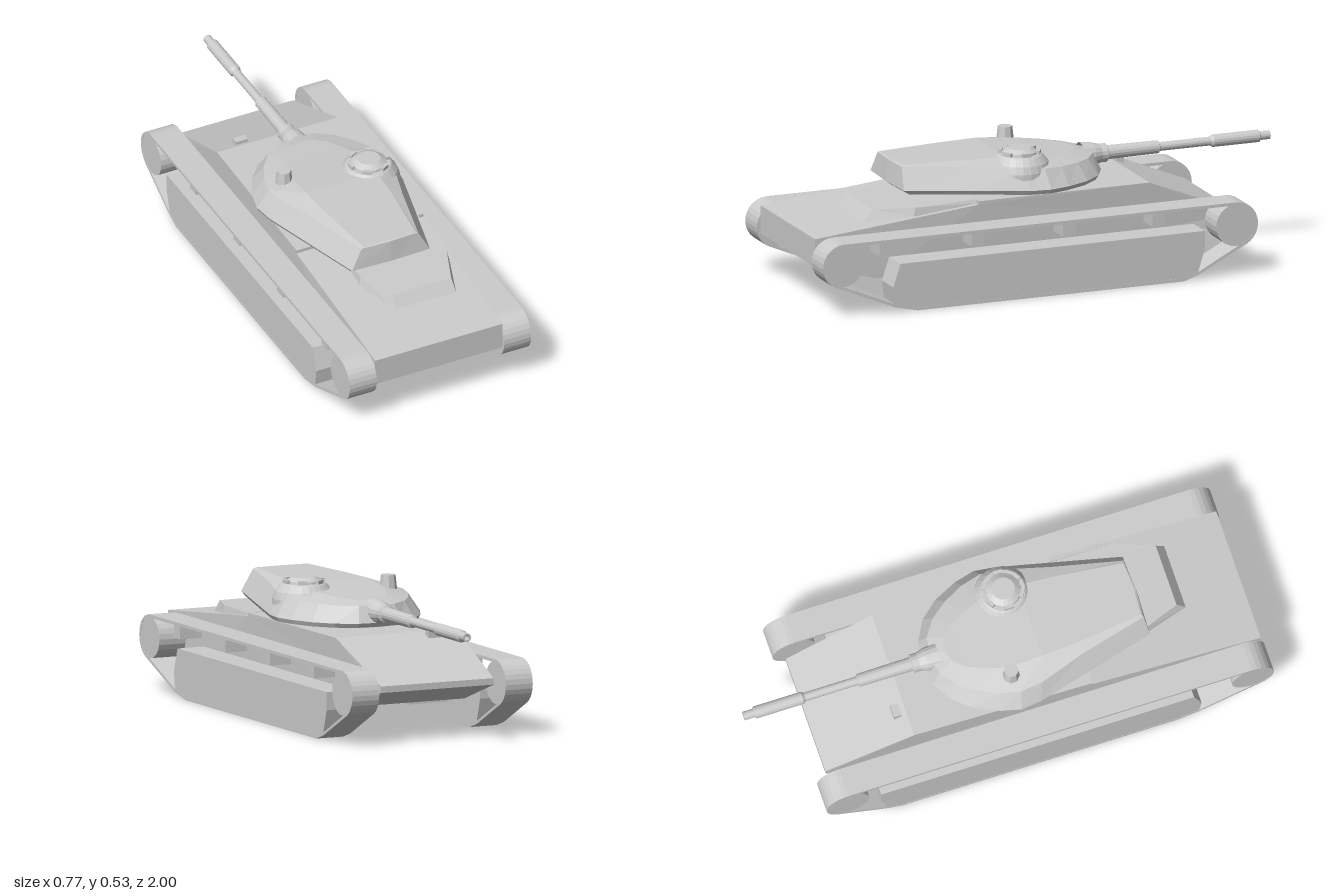
import * as THREE from 'three';

const grey = new THREE.MeshStandardMaterial({ color: 0xcccccc, side: THREE.DoubleSide });
const flat = new THREE.MeshStandardMaterial({ color: 0xcccccc, flatShading: true, side: THREE.DoubleSide });

function add(parent, name, geometry, material = flat) {
  const mesh = new THREE.Mesh(geometry, material);
  mesh.name = name;
  parent.add(mesh);
  return mesh;
}

function box(parent, name, w, h, d, x, y, z) {
  const mesh = add(parent, name, new THREE.BoxGeometry(w, h, d));
  mesh.position.set(x, y, z);
  return mesh;
}

const vecs = (pts) => pts.map(([a, b]) => new THREE.Vector2(a, b));

// Extrude a (z, y) side profile across x0..x1
function sideExtrude(pts, x0, x1, hole) {
  const shape = new THREE.Shape(vecs(pts));
  if (hole) shape.holes.push(new THREE.Path(vecs(hole)));
  const geo = new THREE.ExtrudeGeometry(shape, { depth: x1 - x0, bevelEnabled: false });
  return geo.rotateY(-Math.PI / 2).translate(x1, 0, 0);
}

// Track loop around both end wheels, drawn inwards by t
const REAR = [0.913, 0.203, 0.087], FRONT = [-0.705, 0.2, 0.089];
function trackLoop(t) {
  const arc = ([z, y, r], from, to) => Array.from({ length: 13 }, (_, i) => {
    const a = THREE.MathUtils.degToRad(from + (to - from) * i / 12);
    return [z + (r - t) * Math.cos(a), y + (r - t) * Math.sin(a)];
  });
  return [
    ...arc(REAR, 90, -67),
    [0.7, 0.02 + t], [0.61, t], [-0.49, t], [-0.55, 0.02 + t],
    ...arc(FRONT, -117, -270),
  ];
}

function buildTrack(side) {
  const track = new THREE.Group();
  track.name = side > 0 ? 'leftTrack' : 'rightTrack';
  const [x0, x1] = side > 0 ? [0.27, 0.385] : [-0.385, -0.27];
  add(track, 'trackBand', sideExtrude(trackLoop(0), x0, x1, trackLoop(0.012)));
  // Solid running gear block
  add(track, 'sideBlock', sideExtrude([
    [0.61, 0.003], [0.7, 0.025], [0.71, 0.1], [0.68, 0.19],
    [-0.575, 0.19], [-0.575, 0.12], [-0.545, 0.022], [-0.49, 0.003],
  ], x0 + 0.001, x1 - 0.001));
  for (const [name, [z, y, r]] of [['rearWheel', REAR], ['frontWheel', FRONT]]) {
    const wheel = add(track, name, new THREE.CylinderGeometry(r - 0.006, r - 0.006, 0.113, 24));
    wheel.rotation.z = Math.PI / 2;
    wheel.position.set((x0 + x1) / 2, y, z);
  }
  // Brackets carrying the upper run
  for (const z of [0.73, 0.35, -0.025, -0.395])
    box(track, 'returnBracket', 0.09, 0.06, 0.052, side * 0.315, 0.25, z);
  return track;
}

function buildHull() {
  const hull = new THREE.Group();
  hull.name = 'hull';
  const body = sideExtrude([
    [0.985, 0.29], [0.985, 0.18], [0.73, 0.11], [-0.48, 0.11],
    [-0.75, 0.2], [-0.75, 0.225], [-0.4, 0.367],
    [0.31, 0.37], [0.31, 0.357],
  ], -0.27, 0.27);
  // Narrow the bow slightly
  const p = body.attributes.position;
  for (let i = 0; i < p.count; i++) {
    const k = Math.max(0, -0.1 - p.getZ(i)) / 0.65;
    p.setX(i, p.getX(i) * (1 - 0.11 * k));
  }
  body.computeVertexNormals();
  add(hull, 'hullBody', body);

  // Raised engine cover with a sloping rear edge
  const cover = new THREE.ExtrudeGeometry(new THREE.Shape(vecs([
    [-0.13, -0.3], [0.25, -0.3], [0.25, -0.57], [0.19, -0.75], [-0.07, -0.75], [-0.13, -0.57],
  ])), { depth: 1, bevelEnabled: false }).rotateX(-Math.PI / 2);
  const c = cover.attributes.position;
  for (let i = 0; i < c.count; i++) {
    const z = c.getZ(i), top = c.getY(i) > 0.5;
    c.setY(i, top ? 0.372 - (z - 0.3) * 0.03 : 0.357 - (z - 0.31) * 0.099);
    if (top && z > 0.5) c.setZ(i, z - (z > 0.7 ? 0.035 : 0.01));
    if (top) c.setX(i, 0.06 + (c.getX(i) - 0.06) * 0.97);
  }
  cover.computeVertexNormals();
  add(hull, 'engineCover', cover);

  box(hull, 'bellyPlate', 0.18, 0.012, 0.36, -0.1, 0.107, -0.29);
  box(hull, 'headlamp', 0.05, 0.03, 0.03, -0.14, 0.357, -0.435);
  return hull;
}

// Turret half outline, nose to rear: widest x,z | shoulder x,z,y | roof x,z,y
const STATIONS = [
  [0, -0.28, 0, -0.25, 0.455, 0, -0.2, 0.468],
  [0.09, -0.27, 0.075, -0.24, 0.455, 0.05, -0.18, 0.47],
  [0.17, -0.225, 0.14, -0.195, 0.455, 0.09, -0.14, 0.473],
  [0.23, -0.155, 0.19, -0.13, 0.457, 0.12, -0.08, 0.478],
  [0.275, -0.06, 0.23, -0.05, 0.46, 0.14, -0.02, 0.484],
  [0.295, 0.02, 0.25, 0.03, 0.465, 0.15, 0.05, 0.49],
  [0.285, 0.1, 0.24, 0.12, 0.468, 0.15, 0.15, 0.5],
  [0.235, 0.3, 0.185, 0.3, 0.485, 0.14, 0.3, 0.5],
  [0.165, 0.575, 0.12, 0.565, 0.495, 0.11, 0.56, 0.5],
  [0, 0.582, 0, 0.572, 0.497, 0, 0.565, 0.5],
];

function turretShell() {
  const rows = STATIONS.map(([wx, wz, sx, sz, sy, cx, cz, cy]) => {
    const lift = Math.max(0, wz - 0.1) * 0.042;
    return [
      [0, 0.375 + lift, wz * 0.96], [wx * 0.97, 0.375 + lift, wz * 0.96],
      [wx, 0.392 + lift, wz], [sx, sy, sz], [cx, cy, cz], [0, cy, cz],
    ];
  });
  const mirrored = rows.slice(1, -1).reverse().map((row) => row.map(([x, y, z]) => [-x, y, z]));
  const all = [...rows, ...mirrored];
  const levels = rows[0].length, index = [];
  for (let i = 0; i < all.length; i++) {
    const j = (i + 1) % all.length;
    for (let k = 0; k < levels - 1; k++) {
      const a = i * levels + k, b = j * levels + k;
      index.push(a, a + 1, b, b, a + 1, b + 1);
    }
  }
  const geo = new THREE.BufferGeometry();
  geo.setAttribute('position', new THREE.Float32BufferAttribute(all.flat(2), 3));
  geo.setIndex(index);
  const out = geo.toNonIndexed();
  out.computeVertexNormals();
  return out;
}

function buildTurret() {
  const turret = new THREE.Group();
  turret.name = 'turret';
  add(turret, 'turretShell', turretShell());
  const ring = add(turret, 'turretRing', new THREE.CylinderGeometry(0.25, 0.25, 0.025, 32));
  ring.position.set(0, 0.373, 0.02);

  // Commander's cupola bulging from the side
  const cupola = new THREE.Group();
  cupola.name = 'cupola';
  cupola.position.set(0.145, 0, 0.09);
  turret.add(cupola);
  add(cupola, 'cupolaBody', new THREE.LatheGeometry(vecs([
    [0.122, 0.4], [0.12, 0.45], [0.11, 0.478], [0.09, 0.503], [0.084, 0.508], [0, 0.508],
  ]), 24));
  add(cupola, 'cupolaHatch', new THREE.LatheGeometry(vecs([
    [0.07, 0.505], [0.068, 0.516], [0.045, 0.53], [0, 0.53],
  ]), 20));
  for (let i = 0; i < 6; i++) {
    const a = (i + 0.5) * Math.PI / 3;
    const block = box(cupola, 'visionBlock', 0.035, 0.018, 0.014,
      0.073 * Math.sin(a), 0.513, 0.073 * Math.cos(a));
    block.rotation.y = a;
  }

  // Roof sight
  const sight = add(turret, 'roofSight', new THREE.CylinderGeometry(0.028, 0.035, 0.065, 8));
  sight.position.set(-0.178, 0.494, 0.015);
  sight.rotation.y = Math.PI / 8;

  // Gun barrel with stepped sleeves, lathed from breech to muzzle
  const steps = [[0.05, -0.22], [0.045, -0.27], [0.036, -0.3], [0.036, -0.325],
    [0.027, -0.33], [0.025, -0.54], [0.017, -0.545], [0.017, -0.755], [0.024, -0.765],
    [0.024, -0.955], [0.017, -0.96], [0.017, -1], [0.01, -1], [0.01, -0.96], [0, -0.96]];
  const gun = new THREE.LatheGeometry(vecs(steps.map(([r, z]) => [r, -z])), 16).rotateX(-Math.PI / 2);
  add(turret, 'gunBarrel', gun).position.y = 0.43;
  return turret;
}

export function createModel() {
  const model = new THREE.Group();
  model.name = 'tank';
  model.add(buildHull(), buildTrack(1), buildTrack(-1), buildTurret());
  return model;
}
